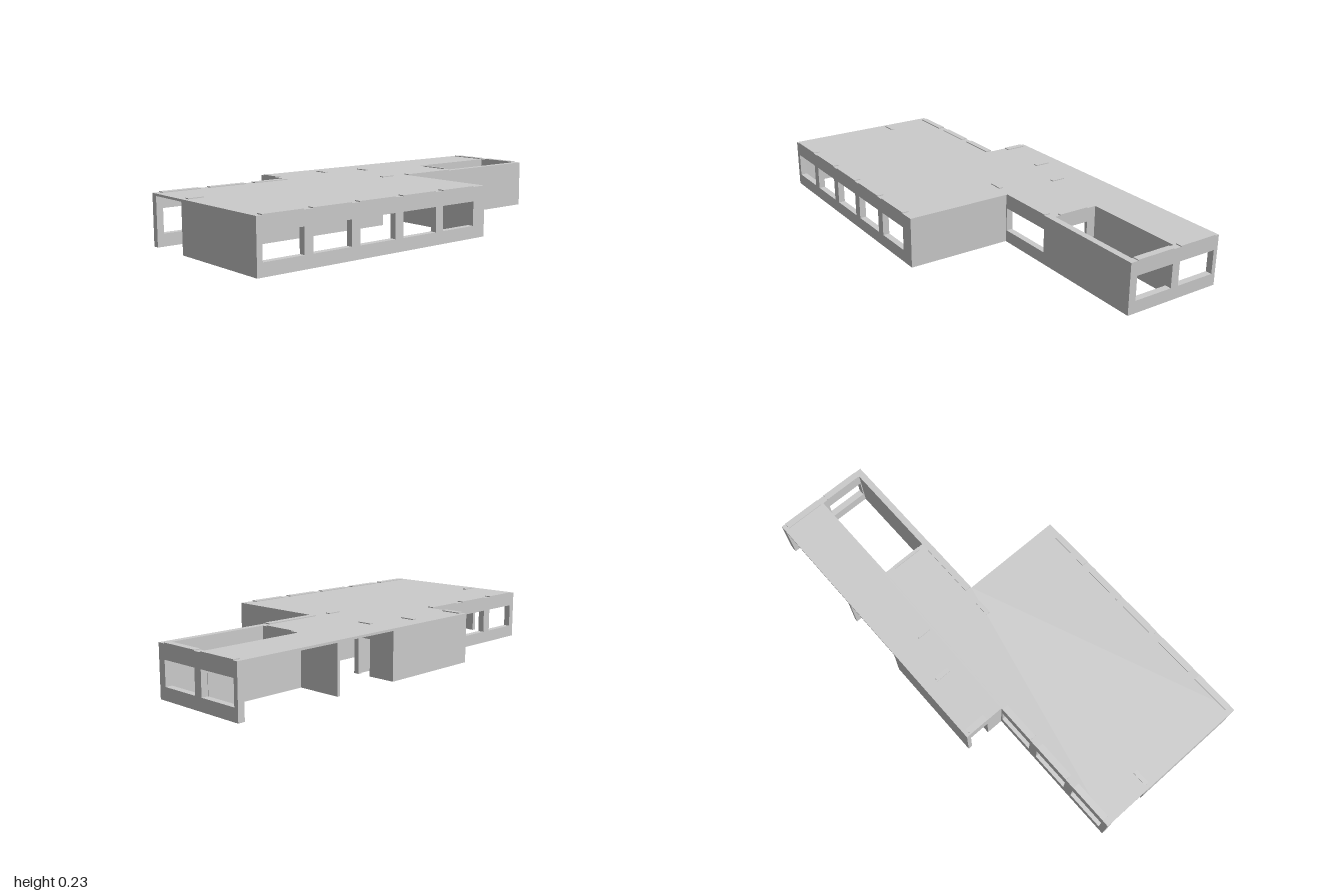
import * as THREE from 'three';

const ROOF = 0.225, SLAB = 0.01, HEAD = 0.162, SILL = 0.055, CAP = 0.004;
const material = new THREE.MeshStandardMaterial({ color: 0xcccccc, side: THREE.DoubleSide });

// Wall along x or z, from a to b, filling lo..hi across; openings are [start, end, bottom]
function wall(name, axis, a, b, lo, hi, openings = []) {
  const group = new THREE.Group();
  group.name = name;
  const top = ROOF - SLAB;
  const shape = new THREE.Shape();
  shape.moveTo(a, 0);
  for (const [s, e, bottom] of openings) {
    if (bottom > 0) {
      const hole = new THREE.Path();
      hole.moveTo(s, bottom).lineTo(s, HEAD).lineTo(e, HEAD).lineTo(e, bottom).closePath();
      shape.holes.push(hole);
    } else {
      shape.lineTo(s, 0).lineTo(s, HEAD).lineTo(e, HEAD).lineTo(e, 0);
    }
  }
  shape.lineTo(b, 0).lineTo(b, top).lineTo(a, top).closePath();
  const geo = new THREE.ExtrudeGeometry(shape, { depth: hi - lo, bevelEnabled: false });
  if (axis === 'x') geo.translate(0, 0, lo);
  else geo.rotateY(-Math.PI / 2).translate(hi, 0, 0);
  const panel = new THREE.Mesh(geo, material);
  panel.name = name + 'Panel';
  group.add(panel);

  // Lintel cap standing slightly proud of the roof above each opening
  for (const [s, e] of openings) {
    const len = e - s, mid = (s + e) / 2, across = (lo + hi) / 2, t = hi - lo;
    const cap = new THREE.Mesh(
      axis === 'x' ? new THREE.BoxGeometry(len, CAP, t) : new THREE.BoxGeometry(t, CAP, len), material);
    cap.position.set(axis === 'x' ? mid : across, ROOF + CAP / 2, axis === 'x' ? across : mid);
    cap.name = 'lintelCap';
    group.add(cap);
  }
  return group;
}

// Flat roof with the courtyard cut out; plan points are (x, z)
function roof() {
  const plan = [[-1, -0.28], [-0.33, -0.28], [-0.33, -0.475], [1, -0.475],
    [1, -0.01], [0.185, -0.01], [0.185, 0.475], [-1, 0.475]];
  const court = [[0.5, -0.255], [0.97, -0.255], [0.97, -0.04], [0.5, -0.04]];
  const points = (list) => list.map(([x, z]) => new THREE.Vector2(x, z));
  const shape = new THREE.Shape(points(plan));
  shape.holes.push(new THREE.Path(points(court)));
  const geo = new THREE.ExtrudeGeometry(shape, { depth: SLAB, bevelEnabled: false });
  geo.rotateX(Math.PI / 2).translate(0, ROOF, 0);
  const mesh = new THREE.Mesh(geo, material);
  mesh.name = 'roof';
  return mesh;
}

export function createModel() {
  const model = new THREE.Group();
  model.name = 'singleStoreyBuilding';
  const win = (s, e) => [s, e, SILL];
  const door = (s, e) => [s, e, 0];

  const frontWindows = [0, 1, 2, 3, 4].map((i) => win(-0.975 + i * 0.2265, -0.79 + i * 0.2265));
  const backWindows = [0, 1, 2].map((i) => win(-0.97 + i * 0.2265, -0.79 + i * 0.2265));

  model.add(
    roof(),
    // Main hall
    wall('hallFrontWall', 'x', -1, 0.185, 0.445, 0.475, frontWindows),
    wall('hallRightWall', 'z', -0.045, 0.445, -1, -0.985),
    wall('hallLeftWall', 'z', -0.025, 0.445, 0.17, 0.185),
    wall('hallBackWall', 'x', -1, 0.185, -0.045, -0.025, [door(-0.98, -0.91), door(0.04, 0.11)]),
    // Corridor, open at its far end
    wall('corridorBackWall', 'x', -1, -0.33, -0.28, -0.25, backWindows),
    // Two small back rooms
    wall('roomBackWall', 'x', -0.33, 0.17, -0.475, -0.46),
    wall('roomCorridorWall', 'x', -0.33, 0.17, -0.275, -0.255),
    wall('roomOuterWall', 'z', -0.46, -0.255, -0.33, -0.3, [door(-0.455, -0.36)]),
    wall('roomDivider', 'z', -0.46, -0.275, -0.055, -0.035, [door(-0.41, -0.34)]),
    wall('roomEntranceWall', 'z', -0.46, -0.255, 0.152, 0.17, [door(-0.345, -0.28)]),
    // Wing around the courtyard
    wall('wingFrontWall', 'x', 0.185, 1, -0.04, -0.01, [win(0.19, 0.463)]),
    wall('wingEndWall', 'z', -0.475, -0.04, 0.97, 1, [win(-0.455, -0.268), win(-0.23, -0.045)]),
    wall('courtyardBackWall', 'x', 0.5, 0.97, -0.27, -0.255),
    wall('courtyardSideWall', 'z', -0.475, -0.04, 0.485, 0.5, [win(-0.213, -0.065)])
  );
  return model;
}
